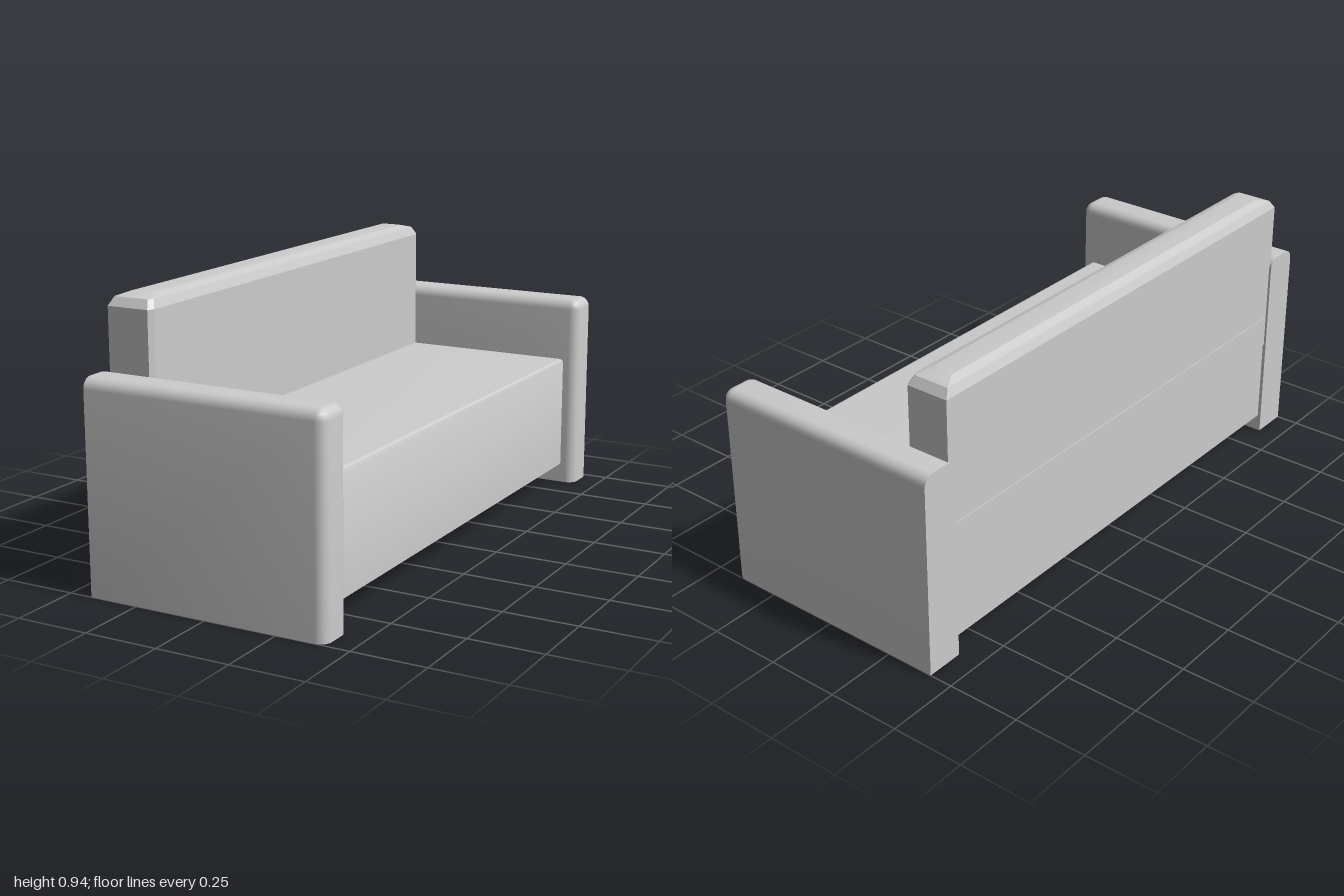
import * as THREE from 'three';
import { toCreasedNormals } from 'three/addons/utils/BufferGeometryUtils.js';

const material = new THREE.MeshStandardMaterial({ color: 0xcccccc });

// Plan outline at height y: square corners at the back, rounded corners (rx by rz) at the front
function section(y, x0, x1, z0, z1, rx, rz, steps) {
  const ring = [[x0, y, z0]];
  for (let i = 0; i <= steps; i++) {
    const t = (i / steps) * Math.PI / 2;
    ring.push([x1 - rx + rx * Math.sin(t), y, z0 + rz - rz * Math.cos(t)]);
  }
  for (let i = 0; i <= steps; i++) {
    const t = (i / steps) * Math.PI / 2;
    ring.push([x1 - rx + rx * Math.cos(t), y, z1 - rz + rz * Math.sin(t)]);
  }
  ring.push([x0, y, z1]);
  return ring;
}

// Closed solid through a stack of plan outlines, from bottom to top
function loft(rings, crease) {
  const n = rings[0].length, index = [];
  rings.forEach((ring, r) => {
    if (r === rings.length - 1) return;
    for (let i = 0; i < n; i++) {
      const a = r * n + i, b = r * n + (i + 1) % n;
      index.push(a, a + n, b, b, a + n, b + n);
    }
  });
  const top = (rings.length - 1) * n;
  for (let i = 1; i < n - 1; i++) {
    index.push(0, i, i + 1, top, top + i + 1, top + i);
  }
  const geometry = new THREE.BufferGeometry();
  geometry.setAttribute('position', new THREE.Float32BufferAttribute(rings.flat(2), 3));
  geometry.setIndex(index);
  return toCreasedNormals(geometry, crease);
}

function part(name, geometry) {
  const mesh = new THREE.Mesh(geometry, material);
  mesh.name = name;
  return mesh;
}

// Armrest slab: rounded along the top and front, flat at the back and bottom
function armGeometry(z0, z1) {
  const r = 0.036, steps = 5, height = 0.7;
  const rings = [section(0, -0.42, 0.42, z0, z1, r, r, steps)];
  for (let i = 0; i <= steps; i++) {
    const t = (i / steps) * Math.PI / 2;
    const inset = r * (1 - Math.cos(t));
    const corner = Math.max(r - inset, 0.002);
    rings.push(section(height - r + r * Math.sin(t), -0.42, 0.42 - inset,
      z0 + inset, z1 - inset, corner, corner, steps));
  }
  return loft(rings, 0.6);
}

// Backrest: slab with bevelled top and front corners
function backrestGeometry() {
  const levels = [[0.36, 0, 0], [0.9, 0, 0], [0.928, 0.012, 0.02], [0.94, 0.04, 0.07]];
  return loft(levels.map(([y, dx, dz]) =>
    section(y, -0.412 + dx, -0.255 - dx, -0.888 + dz, 0.876 - dz, 0.01, 0.02, 1)), 0.3);
}

// Seat block: side profile with a softened top front edge, run along the length
function seatGeometry() {
  const x0 = -0.416, x1 = 0.365, y0 = 0.07, y1 = 0.475, r = 0.015;
  const z0 = -0.875, z1 = 0.855;
  const shape = new THREE.Shape();
  shape.moveTo(x0, y0);
  shape.lineTo(x1, y0);
  shape.lineTo(x1, y1 - r);
  shape.absarc(x1 - r, y1 - r, r, 0, Math.PI / 2, false);
  shape.lineTo(x0, y1);
  shape.closePath();
  const geometry = new THREE.ExtrudeGeometry(shape, {
    depth: z1 - z0, bevelEnabled: false, curveSegments: 4,
  });
  geometry.translate(0, 0, z0);
  return toCreasedNormals(geometry, 0.6);
}

export function createModel() {
  const sofa = new THREE.Group();
  sofa.name = 'sofa';
  sofa.add(
    part('seat', seatGeometry()),
    part('backrest', backrestGeometry()),
    part('leftArmrest', armGeometry(-1, -0.868)),
    part('rightArmrest', armGeometry(0.868, 1)),
  );
  return sofa;
}
